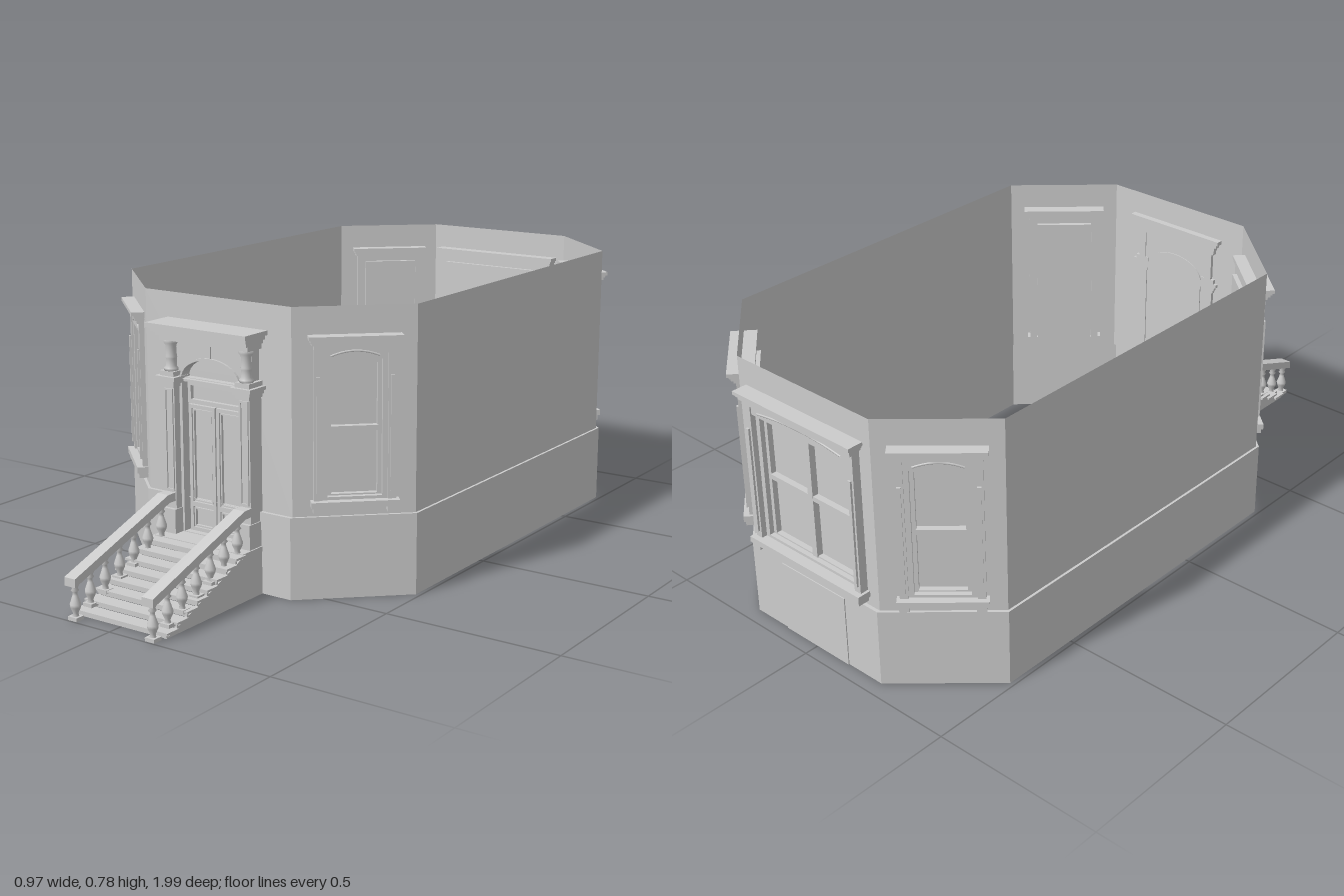
import * as THREE from 'three';

const mat = new THREE.MeshStandardMaterial({ color: 0xcccccc, side: THREE.DoubleSide });

function add(parent, name, geo) {
  const m = new THREE.Mesh(geo, mat);
  m.name = name;
  parent.add(m);
  return m;
}
// box given by its extents
function box(p, name, x0, x1, y0, y1, z0, z1) {
  const m = add(p, name, new THREE.BoxGeometry(x1 - x0, y1 - y0, z1 - z0));
  m.position.set((x0 + x1) / 2, (y0 + y1) / 2, (z0 + z1) / 2);
  return m;
}
function rect(C, x0, x1, y0, y1) {
  const s = new C();
  s.moveTo(x0, y0); s.lineTo(x1, y0); s.lineTo(x1, y1); s.lineTo(x0, y1); s.closePath();
  return s;
}
// rectangular ring of border b
function frame(p, name, x0, x1, y0, y1, b, z0, z1) {
  const s = rect(THREE.Shape, x0, x1, y0, y1);
  s.holes.push(rect(THREE.Path, x0 + b, x1 - b, y0 + b, y1 - b));
  add(p, name, new THREE.ExtrudeGeometry(s, { depth: z1 - z0, bevelEnabled: false })).position.z = z0;
}
function turned(p, name, pts, x, y, z, n = 16) {
  add(p, name, new THREE.LatheGeometry(pts.map(a => new THREE.Vector2(a[0], a[1])), n)).position.set(x, y, z);
}
// stepped moulding that widens upwards: rows of [half width, y0, y1, back, front]
function cornice(p, name, rows) {
  const g = new THREE.Group();
  g.name = name;
  p.add(g);
  rows.forEach(r => box(g, name + 'Step', -r[0], r[0], r[1], r[2], r[3], r[4]));
}
function arched(C, r, y0, y1, rise) {
  const s = new C();
  s.moveTo(-r, y0); s.lineTo(r, y0); s.lineTo(r, y1);
  for (let i = 1; i <= 20; i++) {
    const a = Math.PI * i / 20;
    s.lineTo(r * Math.cos(a), y1 + rise * Math.sin(a));
  }
  s.closePath();
  return s;
}

// plan corners, running so that the outside lies to the right of each edge
const plan = (x, zf, zcf, zcb, zb) => [
  [-0.24, zf], [0.24, zf], [x, zcf], [x, zcb], [0.24, zb], [-0.24, zb], [-x, zcb], [-x, zcf]];

// group with local z pointing out of the wall
function wallFrame(parent, a, b, name) {
  const g = new THREE.Group();
  g.name = name;
  g.position.set((a[0] + b[0]) / 2, 0, (a[1] + b[1]) / 2);
  g.rotation.y = Math.atan2(-(b[1] - a[1]), b[0] - a[0]);
  parent.add(g);
  return g;
}

// sash window: w is half the casing width, columns of panes n
function sashWindow(p, w, n, out) {
  const gw = w - 0.045;
  box(p, 'glassPanel', -w + 0.025, w - 0.025, 0.26, 0.665, -0.043, -0.022);
  frame(p, 'innerCasing', -w + 0.02, w - 0.02, 0.262, 0.66, 0.016, -0.022, 0.008);
  frame(p, 'sashFrame', -gw - 0.01, gw + 0.01, 0.27, 0.642, 0.012, -0.022, -0.006);
  box(p, 'meetingRail', -gw, gw, 0.45, 0.464, -0.022, -0.004);
  for (let i = 1; i < n; i++) {
    const x = -gw + 2 * gw * i / n;
    box(p, 'mullion', x - 0.009, x + 0.009, 0.27, 0.64, -0.022, -0.003);
  }
  for (const s of [-1, 1]) {
    const x = s * (w - 0.011);
    box(p, 'jamb', x - 0.011, x + 0.011, 0.265, 0.68, -0.03, out - 0.006);
    box(p, 'jambStrip', x - 0.005, x + 0.005, 0.29, 0.6, -0.03, out);
    box(p, 'sillBracket', x - 0.013, x + 0.013, 0.238, 0.255, -0.025, out + 0.005);
  }
  // header with a shallow segmental arch line
  box(p, 'header', -w, w, 0.642, 0.682, -0.03, out - 0.01);
  const c = new THREE.QuadraticBezierCurve3(
    new THREE.Vector3(-gw, 0.652, out - 0.01), new THREE.Vector3(0, 0.678, out - 0.01), new THREE.Vector3(gw, 0.652, out - 0.01));
  add(p, 'headerArch', new THREE.TubeGeometry(c, 14, 0.003, 6));
  box(p, 'sill', -w - 0.008, w + 0.008, 0.253, 0.27, -0.03, out + 0.01);
  cornice(p, 'hood', [
    [w, 0.672, 0.682, -0.028, out], [w + 0.006, 0.682, 0.69, -0.031, out + 0.006],
    [w + 0.01, 0.69, 0.697, -0.034, out + 0.01], [w + 0.014, 0.697, 0.707, -0.036, out + 0.016]]);
}

function entrance(p) {
  const g = new THREE.Group();
  g.name = 'entrance';
  p.add(g);
  // double door with raised mouldings, transom and fanlight
  add(g, 'doorBacking', new THREE.ExtrudeGeometry(arched(THREE.Shape, 0.1, 0.13, 0.56, 0.06),
    { depth: 0.012, bevelEnabled: false })).position.z = 0.54;
  for (const s of [-1, 1]) {
    const x0 = s < 0 ? -0.09 : 0.002, x1 = s < 0 ? -0.002 : 0.09;
    frame(g, 'doorLeaf', x0, x1, 0.135, 0.485, 0.01, 0.55, 0.562);
    box(g, 'lockRail', x0, x1, 0.203, 0.216, 0.55, 0.562);
    frame(g, 'upperPanelMoulding', x0 + 0.012, x1 - 0.012, 0.218, 0.473, 0.004, 0.55, 0.56);
    frame(g, 'lowerPanelMoulding', x0 + 0.012, x1 - 0.012, 0.147, 0.2, 0.004, 0.55, 0.56);
  }
  frame(g, 'transom', -0.09, 0.09, 0.49, 0.548, 0.01, 0.55, 0.564);
  box(g, 'transomBar', -0.1, 0.1, 0.548, 0.56, 0.545, 0.572);
  // spandrel wall over the arch
  const s = rect(THREE.Shape, -0.13, 0.13, 0.13, 0.672);
  s.holes.push(arched(THREE.Path, 0.098, 0.134, 0.56, 0.06));
  add(g, 'portalWall', new THREE.ExtrudeGeometry(s, { depth: 0.035, bevelEnabled: false })).position.z = 0.543;
  const rim = arched(THREE.Shape, 0.1, 0.558, 0.56, 0.062);
  rim.holes.push(arched(THREE.Path, 0.094, 0.5585, 0.56, 0.056));
  add(g, 'archMoulding', new THREE.ExtrudeGeometry(rim, { depth: 0.042, bevelEnabled: false })).position.z = 0.543;
  box(g, 'keyLine', -0.002, 0.002, 0.622, 0.672, 0.57, 0.582);
  for (const t of [-1, 1]) {
    const x = t * 0.125;
    // pilaster, capital and short upper column
    box(g, 'pilasterPlinth', x - 0.021, x + 0.021, 0.13, 0.2, 0.54, 0.61);
    box(g, 'pilaster', x - 0.018, x + 0.018, 0.2, 0.54, 0.54, 0.6);
    frame(g, 'pilasterPanel', x - 0.014, x + 0.014, 0.25, 0.53, 0.005, 0.6, 0.604);
    [[0.022, 0.535, 0.545], [0.027, 0.545, 0.555], [0.033, 0.555, 0.565], [0.023, 0.565, 0.578]].forEach(r =>
      box(g, 'capital', x - r[0], x + r[0], r[1], r[2], 0.54, 0.585 + r[0]));
    box(g, 'upperPilaster', x - 0.012, x + 0.012, 0.575, 0.67, 0.54, 0.58);
    turned(g, 'upperColumn', [[0, 0], [0.019, 0], [0.019, 0.008], [0.014, 0.014], [0.014, 0.034], [0.017, 0.037],
      [0.014, 0.04], [0.014, 0.068], [0.019, 0.076], [0.019, 0.09], [0, 0.09]], x, 0.577, 0.588, 20);
  }
  cornice(g, 'entablature', [
    [0.146, 0.662, 0.676, 0.537, 0.61], [0.15, 0.676, 0.687, 0.535, 0.62],
    [0.157, 0.687, 0.699, 0.533, 0.632], [0.165, 0.699, 0.711, 0.53, 0.645]]);
}

function stairs(p) {
  const g = new THREE.Group();
  g.name = 'frontStairs';
  p.add(g);
  const n = 8, rise = 0.13 / n, run = 0.04;
  box(g, 'landing', -0.15, 0.15, 0.118, 0.132, 0.54, 0.645);
  for (let i = 0; i < n; i++) {
    const zf = 0.96 - run * i, top = rise * (i + 1);
    box(g, 'tread', -0.155, 0.155, top - 0.006, top, zf - run - 0.004, zf);
    box(g, 'riser', -0.148, 0.148, top - rise, top - 0.006, zf - 0.012, zf - 0.006);
  }
  for (const s of [-1, 1]) {
    // solid side wall under the steps
    const side = new THREE.Shape();
    side.moveTo(-0.55, 0); side.lineTo(-0.955, 0); side.lineTo(-0.645, 0.122); side.lineTo(-0.55, 0.122);
    const m = add(g, 'stairSide', new THREE.ExtrudeGeometry(side, { depth: 0.008, bevelEnabled: false }));
    m.rotation.y = Math.PI / 2;
    m.position.x = s * 0.144 - 0.004;
    // turned balusters
    const x = s * 0.128;
    for (let i = 0; i < 7; i++) {
      const z = 0.982 - 0.057 * i, y = 0.02 * i;
      box(g, 'balusterFoot', x - 0.015, x + 0.015, y, y + 0.01, z - 0.014, z + 0.014);
      turned(g, 'baluster', [[0.009, 0], [0.007, 0.01], [0.014, 0.026], [0.015, 0.034], [0.007, 0.058],
        [0.006, 0.066], [0.011, 0.071], [0.007, 0.076], [0.012, 0.088], [0.012, 0.098]], x, y + 0.008, z, 12);
    }
    // sloping handrail
    const rail = new THREE.Shape();
    rail.moveTo(-1, 0.093); rail.lineTo(-1, 0.116); rail.lineTo(-0.63, 0.245); rail.lineTo(-0.6, 0.245);
    rail.lineTo(-0.6, 0.222); rail.lineTo(-0.625, 0.222);
    const r = add(g, 'handrail', new THREE.ExtrudeGeometry(rail, { depth: 0.036, bevelEnabled: false }));
    r.rotation.y = Math.PI / 2;
    r.position.x = x - 0.018;
  }
}

export function createModel() {
  const root = new THREE.Group();
  root.name = 'bayFrontedStorey';
  const up = plan(0.48, 0.55, 0.33, -0.73, -0.945), low = plan(0.487, 0.56, 0.335, -0.735, -0.955);
  for (let i = 0; i < 8; i++) {
    const j = (i + 1) % 8, names = ['front', 'frontLeft', 'left', 'backLeft', 'back', 'backRight', 'right', 'frontRight'];
    // upper wall with its opening
    const w = wallFrame(root, up[i], up[j], names[i] + 'Wall');
    const half = Math.hypot(up[j][0] - up[i][0], up[j][1] - up[i][1]) / 2;
    const s = rect(THREE.Shape, -half, half, 0.225, 0.78);
    if (i === 0) s.holes.push(arched(THREE.Path, 0.1, 0.226, 0.56, 0.06));
    else if (i === 4) s.holes.push(rect(THREE.Path, -0.175, 0.175, 0.265, 0.66));
    else if (i % 2) s.holes.push(rect(THREE.Path, -0.085, 0.085, 0.265, 0.66));
    add(w, 'wall', new THREE.ShapeGeometry(s));
    if (i === 4) sashWindow(w, 0.2, 2, 0.03);
    else if (i % 2) sashWindow(w, 0.108, 1, 0.02);
    // plinth wall
    const b = wallFrame(root, low[i], low[j], names[i] + 'Plinth');
    const lh = Math.hypot(low[j][0] - low[i][0], low[j][1] - low[i][1]) / 2;
    const ps = rect(THREE.Shape, -lh, lh, 0, 0.225);
    if (i === 0) ps.holes.push(rect(THREE.Path, -0.1, 0.1, 0.132, 0.2245));
    add(b, 'plinth', new THREE.ShapeGeometry(ps));
    if (i === 4) box(b, 'plinthPanel', -0.12, 0.12, 0, 0.21, -0.002, 0.003);
  }
  // ledge where the plinth steps in
  const ledge = new THREE.Shape(low.map(c => new THREE.Vector2(c[0], -c[1])));
  ledge.holes.push(new THREE.Path(up.map(c => new THREE.Vector2(c[0], -c[1]))));
  const l = add(root, 'plinthLedge', new THREE.ShapeGeometry(ledge));
  l.rotation.x = -Math.PI / 2;
  l.position.y = 0.225;
  entrance(root);
  stairs(root);
  return root;
}
